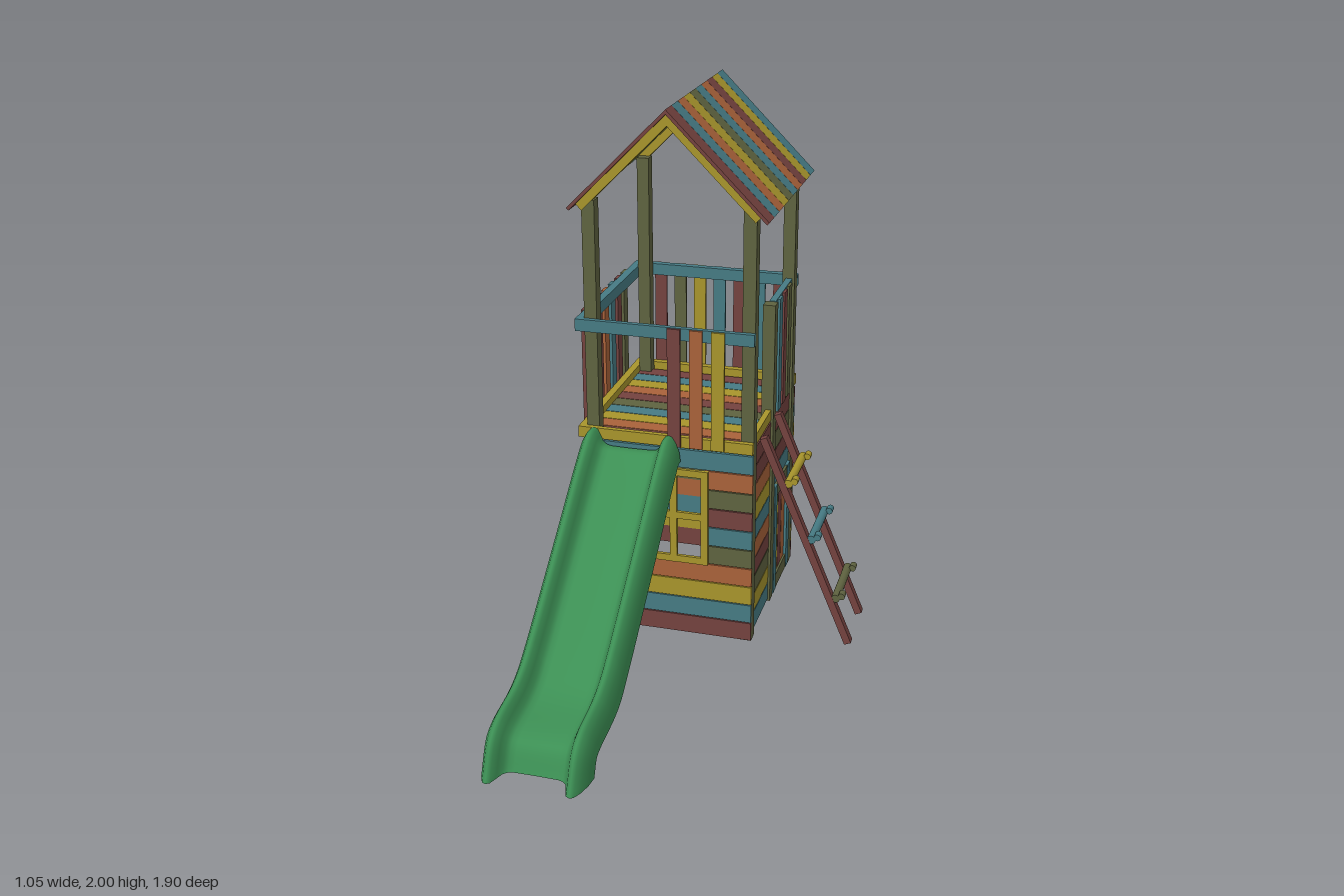
import * as THREE from 'three';

const mat = (name, color, side = THREE.FrontSide) => {
  const m = new THREE.MeshStandardMaterial({ color, side });
  m.name = name;
  return m;
};

export function createModel() {
  const root = new THREE.Group();
  root.name = 'playTower';
  // Wood stains, keyed by letter
  const M = {
    R: mat('redBrownWood', 0x74423f),
    O: mat('orangeWood', 0xa9623a),
    Y: mat('yellowWood', 0xa8952c),
    V: mat('oliveWood', 0x5f6340),
    T: mat('tealWood', 0x467b84),
    G: mat('greenPlastic', 0x3c8f54, THREE.DoubleSide),
  };
  const group = (name, parent = root) => {
    const g = new THREE.Group();
    g.name = name;
    parent.add(g);
    return g;
  };
  // Box given by its extents on each axis
  const box = (parent, name, c, x0, x1, y0, y1, z0, z1) => {
    const m = new THREE.Mesh(new THREE.BoxGeometry(x1 - x0, y1 - y0, z1 - z0), M[c]);
    m.position.set((x0 + x1) / 2, (y0 + y1) / 2, (z0 + z1) / 2);
    m.name = name;
    parent.add(m);
    return m;
  };

  // Posts
  const posts = group('posts');
  for (const x of [-0.48, 0.102])
    for (const z of [-0.262, -0.907]) box(posts, 'cornerPost', 'V', x, x + 0.047, 0, 1.665, z, z + 0.047);
  box(posts, 'ladderPost', 'V', 0.102, 0.149, 0, 1.23, -0.577, -0.53);

  // Board walls, colours from the ground up
  const pitch = 0.0762;
  const boards = (name, colours, gap, fn) => {
    const g = group(name);
    [...colours].forEach((c, i) => fn(g, c, i * pitch + 0.004 + gap, (i + 1) * pitch + 0.004, i));
  };
  boards('frontWall', 'RTYOVTRVOT', 0.004, (g, c, a, b, i) => {
    if (i < 4 || i > 8) return box(g, 'board', c, -0.485, 0.15, a, b, -0.215, -0.203);
    box(g, 'board', c, -0.485, -0.265, a, b, -0.215, -0.203);
    box(g, 'board', c, -0.03, 0.15, a, b, -0.215, -0.203);
  });
  boards('backWall', 'RYTOVORYTR', 0, (g, c, a, b) => box(g, 'board', c, -0.485, 0.15, a, b, -0.919, -0.907));
  boards('rightSideWall', 'YRVOTRYOTR', 0, (g, c, a, b) => box(g, 'board', c, -0.493, -0.481, a, b, -0.917, -0.205));
  boards('ladderSideWall', 'TYVROTYORR', 0.004, (g, c, a, b) => box(g, 'board', c, 0.125, 0.14, a, b, -0.53, -0.262));
  boards('aboveDoorWall', '------TRVR', 0.004, (g, c, a, b) => {
    if (c !== '-') box(g, 'board', c, 0.125, 0.14, a, b, -0.86, -0.577);
  });

  // Door
  const door = group('door');
  box(door, 'doorStile', 'T', 0.13, 0.152, 0.008, 0.47, -0.622, -0.578);
  box(door, 'doorStile', 'T', 0.13, 0.152, 0.008, 0.47, -0.852, -0.806);
  box(door, 'doorRail', 'V', 0.13, 0.15, 0.415, 0.468, -0.806, -0.622);
  box(door, 'doorRail', 'V', 0.13, 0.15, 0.008, 0.068, -0.806, -0.622);
  ['Y', 'R', 'O'].forEach((c, i) => {
    const z = -0.625 - i * 0.061;
    box(door, 'doorPlank', c, 0.128, 0.142, 0.068, 0.415, z - 0.056, z);
  });

  // Window frame with a cross bar
  const win = group('windowFrame');
  for (const x of [-0.28, -0.16, -0.042]) box(win, 'windowStile', 'Y', x, x + 0.027, 0.31, 0.69, -0.205, -0.19);
  for (const y of [0.31, 0.49, 0.663]) box(win, 'windowRail', 'Y', -0.28, -0.015, y, y + 0.027, -0.204, -0.191);

  // Deck and its rim
  const deck = group('deck');
  [...'ROYTVROYTR'].forEach((c, i) => {
    const z = -0.222 - i * 0.0676;
    box(deck, 'deckBoard', c, -0.478, 0.118, 0.775, 0.79, z - 0.064, z);
  });
  box(deck, 'rim', 'Y', -0.508, 0.15, 0.775, 0.817, -0.215, -0.195);
  box(deck, 'rim', 'Y', -0.508, 0.15, 0.775, 0.817, -0.934, -0.907);
  box(deck, 'rim', 'Y', -0.508, -0.48, 0.775, 0.817, -0.907, -0.215);
  box(deck, 'rim', 'Y', 0.118, 0.14, 0.775, 0.817, -0.907, -0.215);

  // Balustrade: hand rails and slats
  const fence = group('balustrade');
  box(fence, 'handRail', 'T', -0.51, 0.15, 1.187, 1.232, -0.215, -0.195);
  box(fence, 'handRail', 'T', -0.51, 0.15, 1.187, 1.232, -0.934, -0.907);
  box(fence, 'handRail', 'T', -0.51, -0.48, 1.187, 1.232, -0.907, -0.215);
  box(fence, 'handRail', 'T', 0.115, 0.14, 1.187, 1.232, -0.86, -0.577);
  const y0 = 0.78, y1 = 1.23;
  [...'ROY'].forEach((c, i) => {
    const x = -0.165 + i * 0.081;
    box(fence, 'frontSlat', c, x, x + 0.048, y0, y1, -0.195, -0.186);
  });
  [...'RVYTRTR'].forEach((c, i) => {
    const x = -0.433 + i * 0.0805;
    box(fence, 'backSlat', c, x, x + 0.048, y0, y1, -0.944, -0.934);
  });
  [...'RVROTRV'].forEach((c, i) => {
    const z = -0.3 - i * 0.0773;
    box(fence, 'sideSlat', c, -0.523, -0.51, y0, y1, z - 0.048, z);
  });
  [...'TRV'].forEach((c, i) => {
    const z = -0.608 - i * 0.079;
    box(fence, 'ladderSideSlat', c, 0.14, 0.15, y0, y1, z - 0.05, z);
  });

  // Gable roof: two mirrored slopes of planks over rafters
  const roof = group('roof');
  for (const s of [1, -1]) {
    const slope = group('roofSlope', roof);
    slope.position.set(-0.165, 2, 0);
    slope.rotation.z = -s * Math.PI / 4;
    const len = 0.512;
    const span = (a, b) => (s > 0 ? [a, b] : [-b, -a]);
    [...'RTOYVTORYT'].forEach((c, i) => {
      const z = -0.19 - i * 0.0761;
      box(slope, 'roofPlank', c, ...span(0, len), -0.012, 0, z - 0.0745, z);
    });
    for (const z of [-0.205, -0.899])
      box(slope, 'rafter', 'Y', ...span(0.012, len - 0.03), -0.042, -0.012, z - 0.04, z);
  }

  // Ladder
  const ladder = group('ladder');
  const top = new THREE.Vector2(0.17, 0.812), foot = new THREE.Vector2(0.508, 0.012);
  const dir = foot.clone().sub(top);
  for (const z of [-0.302, -0.535]) {
    const rail = box(ladder, 'ladderRail', 'R', -0.0135, 0.0135, -dir.length() / 2, dir.length() / 2, z, z + 0.032);
    rail.position.x = (top.x + foot.x) / 2;
    rail.position.y = (top.y + foot.y) / 2;
    rail.rotation.z = Math.atan2(dir.x, -dir.y);
  }
  const peg = (c, name, r, length, x, y, z) => {
    const m = new THREE.Mesh(new THREE.CylinderGeometry(r, r, length, 12), M[c]);
    m.rotation.x = Math.PI / 2;
    m.position.set(x, y, z);
    m.name = name;
    ladder.add(m);
  };
  [['Y', 0.64], ['T', 0.425], ['V', 0.193]].forEach(([c, y]) => {
    const x = top.x + dir.x * (top.y - y) / -dir.y;
    peg(c, 'rung', 0.016, 0.262, x + 0.024, y + 0.003, -0.402);
    for (const z of [-0.287, -0.517]) peg(c, 'rungEnd', 0.013, 0.032, x + 0.046, y + 0.014, z);
  });

  // Slide: sections swept between an upper and a lower edge line (z, y)
  const line = pts => new THREE.CatmullRomCurve3(pts.map(([z, y]) => new THREE.Vector3(0, y, z)));
  const upper = line([[-0.19, 0.822], [-0.14, 0.822], [-0.085, 0.795], [0.2, 0.57], [0.5, 0.335], [0.59, 0.275],
    [0.67, 0.243], [0.82, 0.217], [0.885, 0.18], [0.95, 0.052]]);
  const lower = line([[-0.19, 0.722], [-0.165, 0.722], [-0.14, 0.705], [0.13, 0.485], [0.5, 0.192], [0.555, 0.158],
    [0.62, 0.14], [0.765, 0.122], [0.798, 0.11], [0.828, 0.052]]);
  const slide = group('slide');
  const sweep = (name, section) => {
    const rows = 60, cols = section.length, pos = [], idx = [];
    for (let i = 0; i <= rows; i++) {
      const a = lower.getPoint(i / rows), b = upper.getPoint(i / rows);
      for (const [x, t] of section) {
        const p = a.clone().lerp(b, t);
        pos.push(x - 0.302, p.y, p.z);
      }
    }
    for (let i = 0; i < rows; i++)
      for (let j = 0; j < cols - 1; j++) {
        const a = i * cols + j, b = a + cols;
        idx.push(a, b, a + 1, b, b + 1, a + 1);
      }
    const geo = new THREE.BufferGeometry();
    geo.setAttribute('position', new THREE.Float32BufferAttribute(pos, 3));
    geo.setIndex(idx);
    geo.computeVertexNormals();
    const mesh = new THREE.Mesh(geo, M.G);
    mesh.name = name;
    slide.add(mesh);
  };
  const half = [[-0.185, 0], [-0.181, 0.35], [-0.17, 0.7], [-0.155, 0.95], [-0.142, 1], [-0.129, 0.94],
    [-0.118, 0.7], [-0.108, 0.48], [-0.094, 0.37], [-0.075, 0.33]];
  sweep('slideTrough', [...half, [0, 0.32], ...half.map(([x, t]) => [-x, t]).reverse()]);
  // Stiffening ribs under the bed
  for (const x of [-0.06, 0.06]) sweep('slideRib', [[x, 0.32], [x, 0.08]]);

  return root;
}
